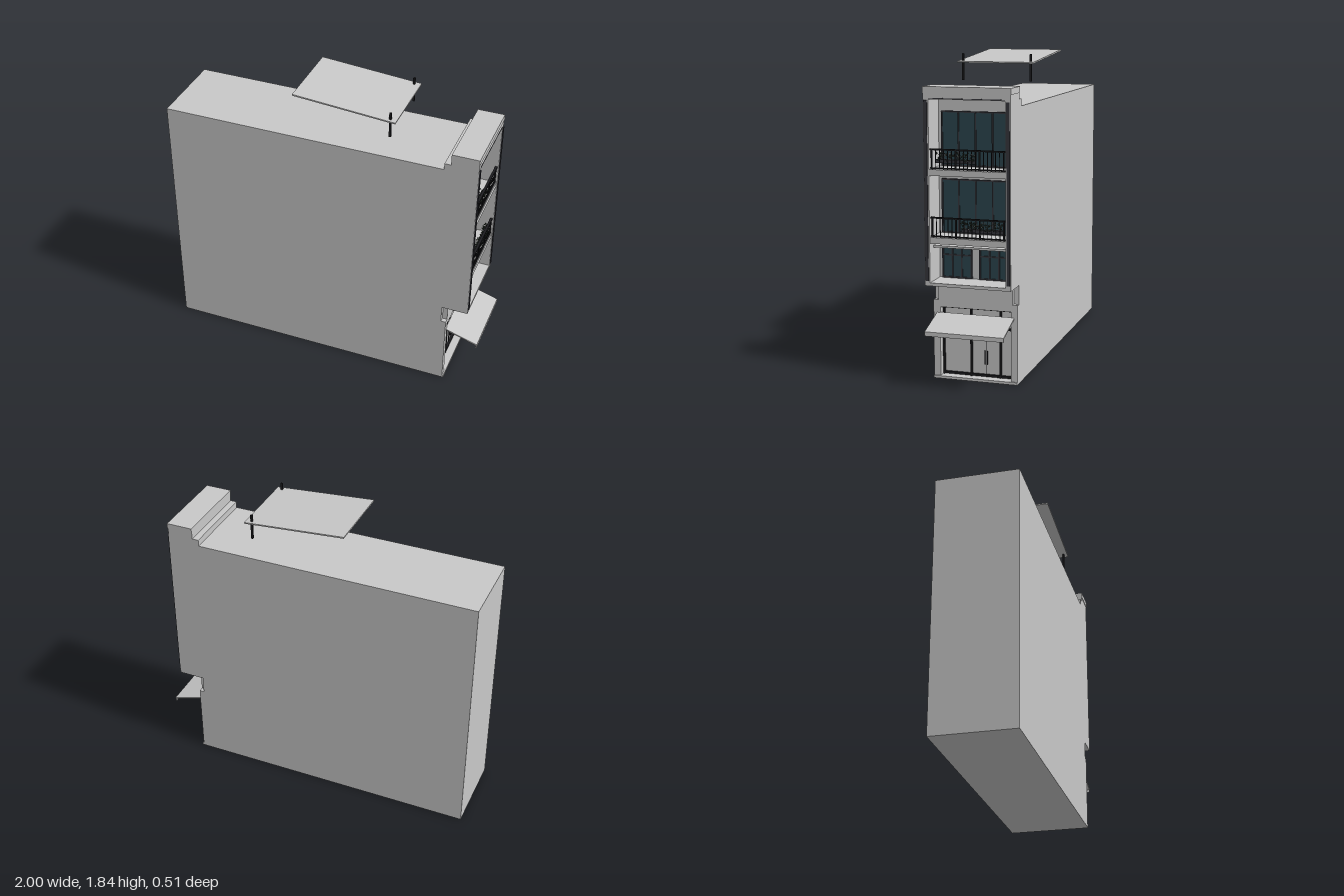
import * as THREE from 'three';

const mat = (name, color) => {
  const m = new THREE.MeshStandardMaterial({ color });
  m.name = name;
  return m;
};

export function createModel() {
  const root = new THREE.Group();
  root.name = 'townhouse';
  const wall = mat('wall grey', 0xc8c8c8);
  const glass = mat('teal glass', 0x2c464f);
  const frame = mat('window frame', 0x36363c);
  const black = mat('black metal', 0x1c1c1f);
  const leaf = mat('leaf green', 0x2f3a30);
  const petal = mat('petal white', 0xc9c0bd);

  // Box given by its minimum and maximum on each axis
  const box = (name, m, x0, x1, y0, y1, z0, z1, parent = root) => {
    const mesh = new THREE.Mesh(new THREE.BoxGeometry(x1 - x0, y1 - y0, z1 - z0), m);
    mesh.position.set((x0 + x1) / 2, (y0 + y1) / 2, (z0 + z1) / 2);
    mesh.name = name;
    parent.add(mesh);
    return mesh;
  };
  // Profile in x and y, extruded across z
  const prism = (name, m, pts, halfZ) => {
    const g = new THREE.ExtrudeGeometry(new THREE.Shape(pts.map(p => new THREE.Vector2(...p))),
      { depth: halfZ * 2, bevelEnabled: false });
    g.translate(0, 0, -halfZ);
    const mesh = new THREE.Mesh(g, m);
    mesh.name = name;
    root.add(mesh);
  };

  // Main block with stepped roof edge
  prism('mainBlock', wall, [[-1, 0], [0.745, 0], [0.745, 0.42], [0.77, 0.42], [0.77, 1.61],
    [0.73, 1.61], [0.73, 1.57], [-1, 1.57]], 0.25);

  // Ground floor surround
  for (const s of [-1, 1]) {
    box('shopJamb', wall, 0.745, 0.8, 0, 0.42, s > 0 ? 0.21 : -0.25, s > 0 ? 0.25 : -0.21);
  }
  box('shopLintel', wall, 0.77, 0.8, 0.42, 0.46, -0.25, 0.25);
  box('shopLintelSoffit', wall, 0.745, 0.77, 0.42, 0.43, -0.21, 0.21);
  box('signWall', wall, 0.77, 0.8, 0.46, 0.57, -0.22, 0.22);
  box('doorstep', wall, 0.745, 0.808, 0, 0.015, -0.25, 0.25);

  // Shopfront frames and handles
  const shop = new THREE.Group();
  shop.name = 'shopfront';
  root.add(shop);
  for (const z of [0.205, 0.04, -0.135, -0.205]) {
    box('shopPost', black, 0.745, 0.76, 0.015, 0.42, z - 0.005, z + 0.005, shop);
  }
  box('doorGap', black, 0.745, 0.75, 0.03, 0.3, -0.051, -0.048, shop);
  for (const [y, h] of [[0.018, 0.012], [0.298, 0.012], [0.408, 0.012]]) {
    box('shopRail', black, 0.745, 0.76, y, y + h, -0.21, 0.21, shop);
  }
  for (const z of [-0.042, -0.057]) {
    box('doorHandle', black, 0.752, 0.762, 0.09, 0.17, z - 0.002, z + 0.002, shop);
  }

  // Sloping shop awning with front lip
  prism('awning', wall, [[0.795, 0.38], [0.992, 0.318], [0.992, 0.3], [1, 0.3], [1, 0.325], [0.795, 0.388]], 0.23);

  // Projecting frame around the balconies
  for (const s of [-1, 1]) {
    box('frameSide', wall, 0.77, 0.93, 0.57, 1.61, s > 0 ? 0.22 : -0.25, s > 0 ? 0.25 : -0.22);
    box('sideStrip', frame, 0.929, 0.936, 0.6, 1.605, s > 0 ? 0.227 : -0.245, s > 0 ? 0.245 : -0.227);
  }
  box('frameBase', wall, 0.77, 0.93, 0.57, 0.588, -0.22, 0.22);
  box('parapet', wall, 0.77, 0.93, 1.61, 1.68, -0.25, 0.25);
  box('parapetCap', wall, 0.77, 0.932, 1.645, 1.68, -0.254, 0.254);
  box('shadowGap', frame, 0.929, 0.932, 1.614, 1.618, -0.22, 0.22);
  box('windowLedge', wall, 0.77, 0.87, 0.778, 0.79, -0.22, 0.22);

  // Glazing: pane, outer frame, mullions and optional transom
  const glazing = (name, y0, y1, z0, z1, mullions, transom) => {
    const g = new THREE.Group();
    g.name = name;
    root.add(g);
    box('pane', glass, 0.77, 0.777, y0, y1, z0, z1, g);
    for (const z of [z0 + 0.003, z1 - 0.003, ...mullions]) {
      box('mullion', frame, 0.77, 0.784, y0, y1, z - 0.004, z + 0.004, g);
    }
    for (const y of [y0 + 0.003, y1 - 0.003, ...(transom ? [transom] : [])]) {
      box('rail', frame, 0.77, 0.783, y - 0.004, y + 0.004, z0, z1, g);
    }
  };
  glazing('lowerWindowLeft', 0.59, 0.77, 0.025, 0.2, [0.14, 0.085], 0.722);
  glazing('lowerWindowRight', 0.59, 0.77, -0.2, -0.02, [-0.08, -0.135], 0.722);

  // Seeded scatter for the flowers
  let seed = 7;
  const rnd = () => (seed = (seed * 16807) % 2147483647) / 2147483647;
  const blob = new THREE.OctahedronGeometry(0.006);

  // Two balconies with slab, glazed doors, railing and flowers
  for (const [base, f0, f1] of [[0.845, -0.2, 0.04], [1.225, -0.04, 0.19]]) {
    box('balconySlab', wall, 0.77, 0.925, base - 0.035, base, -0.22, 0.22);
    glazing('balconyDoors', base + 0.005, base + 0.31, -0.2, 0.2, [-0.1, 0, 0.1]);
    const rail = new THREE.Group();
    rail.name = 'railing';
    root.add(rail);
    box('topRail', black, 0.91, 0.925, base + 0.107, base + 0.115, -0.215, 0.215, rail);
    box('bottomRail', black, 0.912, 0.922, base + 0.004, base + 0.011, -0.215, 0.215, rail);
    for (let i = 0; i <= 18; i++) {
      const z = -0.207 + i * 0.023, w = i % 6 ? 0.0018 : 0.004;
      box('baluster', black, 0.917 - w, 0.917 + w, base, base + 0.11, z - w, z + w, rail);
    }
    box('planter', frame, 0.885, 0.908, base + 0.035, base + 0.055, f0, f1, rail);
    for (let i = 0; i < 110; i++) {
      const b = new THREE.Mesh(blob, i % 3 ? leaf : petal);
      b.name = i % 3 ? 'leaf' : 'flower';
      b.scale.setScalar(i % 3 ? 1.1 : 0.6);
      b.position.set(0.885 + rnd() * 0.035, base + 0.05 + rnd() * 0.043, f0 + rnd() * (f1 - f0));
      rail.add(b);
    }
  }

  // Ceiling lights
  for (const y of [1.607, 1.187]) {
    box('ceilingLight', frame, 0.84, 0.86, y, y + 0.004, -0.01, 0.01);
  }

  // Roof terrace shade and its posts
  prism('roofShade', wall, [[-0.19, 1.83], [0.43, 1.783], [0.43, 1.791], [-0.19, 1.839]], 0.23);
  for (const z of [-0.205, 0.205]) {
    box('shadePost', black, 0.387, 0.399, 1.68, 1.835, z - 0.006, z + 0.006);
  }
  return root;
}
